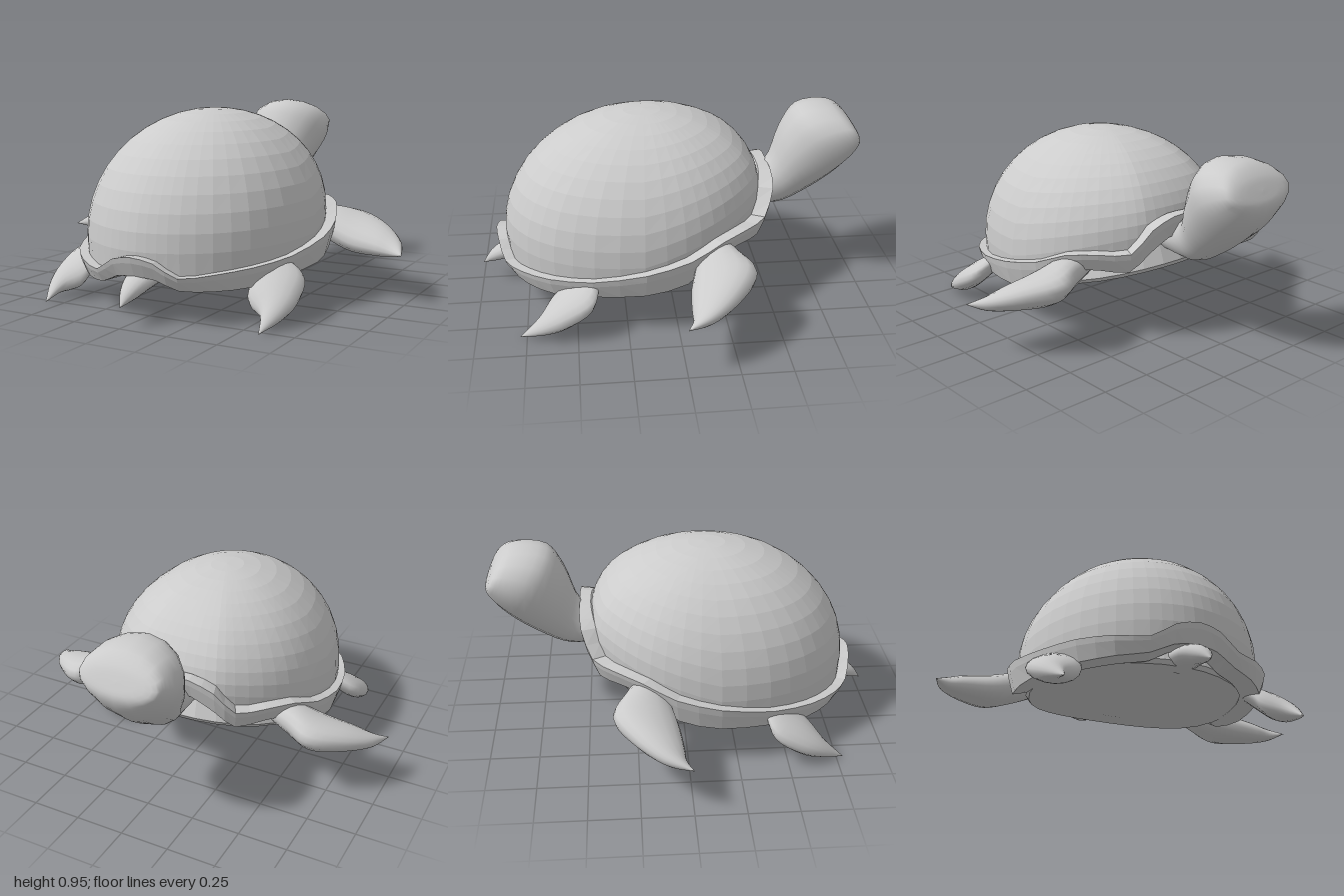
import * as THREE from 'three';

const V = (x, y, z) => new THREE.Vector3(x, y, z);
const CZ = 0.19; // centre of the shell along z

// Skin a list of closed rings; triangles are turned to face outwards.
function skin(name, rings, { flat = false, wrap = false, double = false } = {}) {
  const n = rings[0].length, m = rings.length, idx = [];
  const pts = rings.flat();
  const mid = V(0, 0, 0);
  rings[0].forEach(p => mid.addScaledVector(p, 1 / n));
  for (let i = 0; i < (wrap ? m : m - 1); i++) {
    for (let j = 0; j < n; j++) {
      const a = i * n + j, b = i * n + (j + 1) % n;
      const c = ((i + 1) % m) * n + j, d = ((i + 1) % m) * n + (j + 1) % n;
      idx.push(a, b, d, a, d, c);
    }
  }
  let volume = 0;
  for (let k = 0; k < idx.length; k += 3) {
    const [a, b, c] = [0, 1, 2].map(q => pts[idx[k + q]].clone().sub(mid));
    volume += a.dot(b.cross(c));
  }
  if (volume < 0) idx.reverse();
  const geo = new THREE.BufferGeometry().setFromPoints(pts);
  geo.setIndex(idx);
  geo.computeVertexNormals();
  const mesh = new THREE.Mesh(geo, new THREE.MeshStandardMaterial({
    color: 0xcccccc, flatShading: flat, side: double ? THREE.DoubleSide : THREE.FrontSide,
  }));
  mesh.name = name;
  return mesh;
}

// Organic limb: each section has two opposite edge points and a half thickness along an axis.
function limb(name, sections, axis, side = 1) {
  const curve = k => new THREE.CatmullRomCurve3(sections.map(s => V(...s[k])), false, 'centripetal');
  const ca = curve(0), cb = curve(1);
  const th = new THREE.CatmullRomCurve3(sections.map((s, i) => V(s[2], i, 0)), false, 'catmullrom', 0.5);
  const rings = [], steps = (sections.length - 1) * 4, sides = 16;
  for (let i = 0; i <= steps; i++) {
    const t = i / steps, a = ca.getPoint(t), b = cb.getPoint(t);
    const c = a.clone().add(b).multiplyScalar(0.5), h = a.clone().sub(b).multiplyScalar(0.5);
    const w = Math.max(0, th.getPoint(t).x), ring = [];
    for (let j = 0; j < sides; j++) {
      const u = j / sides * Math.PI * 2;
      const p = c.clone().addScaledVector(h, Math.cos(u)).addScaledVector(axis, w * Math.sin(u));
      p.x *= side;
      ring.push(p);
    }
    rings.push(ring);
  }
  return skin(name, rings);
}

// Half outline of the shell rim, tail end to neck end: x, z, top y, bottom y
const HALF = [
  [0, 0.91, 0.315, 0.22], [0.11, 0.895, 0.295, 0.21], [0.22, 0.86, 0.23, 0.165],
  [0.36, 0.775, 0.245, 0.16], [0.49, 0.63, 0.265, 0.165], [0.585, 0.42, 0.29, 0.19],
  [0.635, 0.16, 0.34, 0.21], [0.61, -0.06, 0.39, 0.25], [0.55, -0.22, 0.455, 0.36],
  [0.455, -0.355, 0.47, 0.38], [0.34, -0.465, 0.475, 0.37], [0.25, -0.52, 0.59, 0.46],
  [0.12, -0.53, 0.635, 0.52], [0, -0.53, 0.635, 0.52],
];
const ALL = [...HALF, ...HALF.slice(1, -1).reverse().map(([x, ...r]) => [-x, ...r])];

// Smoothed outline: lower and upper edge sampled at the same places
const SEGMENTS = 52;
const edgeAt = k => new THREE.CatmullRomCurve3(ALL.map(p => V(p[0], p[k], p[1])), true, 'catmullrom', 0.4)
  .getPoints(SEGMENTS).slice(0, SEGMENTS);
const TOP = edgeAt(2), BOTTOM = edgeAt(3);

// Edge of the dome: the outline drawn in and rounded halfway to an ellipse
const DOME = TOP.map(p => {
  const u = Math.atan2(p.x / 0.59, (p.z - CZ) / 0.67);
  return V((p.x * 0.93 + 0.59 * Math.sin(u)) / 2, p.y,
    CZ + ((p.z - CZ) * 0.93 + 0.67 * Math.cos(u)) / 2);
});

function shellRim() {
  const ring = (s, y) => TOP.map((p, j) =>
    V(p.x * s, THREE.MathUtils.lerp(BOTTOM[j].y, p.y, y), CZ + (p.z - CZ) * s));
  const inner = DOME.map(p => V(p.x * 0.99, p.y, CZ + (p.z - CZ) * 0.99));
  return skin('shellRim', [
    inner, ring(1, 1), ring(0.99, 0.7), ring(0.95, 0), ring(0.8, 0.1), ring(0.82, 0.5),
  ], { flat: true, wrap: true });
}

function shellDome() {
  const rings = [DOME.map((p, j) => V(p.x * 0.99, BOTTOM[j].y + 0.03, CZ + (p.z - CZ) * 0.99))];
  for (let i = 0; i <= 11; i++) {
    const f = i / 11 * Math.PI / 2, c = Math.cos(f), s = Math.sin(f);
    rings.push(DOME.map(p => {
      const base = 0.36 + (0.15 - p.z) * (p.z < 0.15 ? 0.3 : 0.04);
      return V(p.x * c, base + (0.957 - base) * s, THREE.MathUtils.lerp(0.12, p.z, c));
    }));
  }
  return skin('shellDome', rings, { flat: true, double: true });
}

// Belly plate, rising towards the neck
function bellyPlate() {
  const ring = (s, lift) => Array.from({ length: 32 }, (_, j) => {
    const u = j / 32 * Math.PI * 2;
    const x = 0.54 * s * Math.sin(u), z = 0.15 + 0.61 * s * Math.cos(u);
    return V(x, 0.24 - 0.1 * z + (z < 0 ? 0.3 * z * z : 0) + lift, z);
  });
  return skin('bellyPlate', [ring(0, 0.13), ring(0.93, 0.13), ring(1, 0.02), ring(0.97, 0),
    ring(0.5, 0), ring(0, 0)], { flat: true });
}

export function createModel() {
  const turtle = new THREE.Group();
  turtle.name = 'turtle';
  const X = V(1, 0, 0), Y = V(0, 1, 0);
  turtle.add(shellDome(), shellRim(), bellyPlate());

  // Neck and head: top point, bottom point, half width
  turtle.add(limb('neckAndHead', [
    [[0, 0.55, -0.36], [0, 0.42, -0.38], 0.1],
    [[0, 0.63, -0.52], [0, 0.40, -0.59], 0.11],
    [[0, 0.83, -0.60], [0, 0.47, -0.73], 0.175],
    [[0, 0.94, -0.68], [0, 0.60, -0.90], 0.228],
    [[0, 0.953, -0.85], [0, 0.70, -0.98], 0.218],
    [[0, 0.90, -0.93], [0, 0.77, -1.0], 0.18],
    [[0, 0.84, -0.97], [0, 0.83, -0.975], 0],
  ], X));

  turtle.add(limb('tail', [
    [[0, 0.27, 0.70], [0, 0.17, 0.66], 0.085],
    [[0, 0.23, 0.86], [0, 0.15, 0.80], 0.075],
    [[0, 0.17, 0.95], [0, 0.12, 0.90], 0.042],
    [[0, 0.10, 0.995], [0, 0.10, 0.995], 0],
  ], X));

  // Flippers: leading point, trailing point, half thickness
  for (const side of [1, -1]) {
    const label = side > 0 ? 'left' : 'right';
    turtle.add(limb(label + 'FrontFlipper', [
      [[0.38, 0.38, -0.24], [0.42, 0.37, -0.12], 0.05],
      [[0.54, 0.37, -0.31], [0.54, 0.33, -0.09], 0.085],
      [[0.67, 0.35, -0.37], [0.68, 0.28, -0.05], 0.088],
      [[0.82, 0.32, -0.28], [0.83, 0.26, -0.035], 0.065],
      [[0.935, 0.28, -0.14], [0.91, 0.25, -0.03], 0.035],
      [[0.98, 0.25, 0], [0.98, 0.25, 0], 0],
    ], Y, side));
    turtle.add(limb(label + 'RearFlipper', [
      [[0.52, 0.27, 0.38], [0.38, 0.25, 0.48], 0.04],
      [[0.65, 0.19, 0.42], [0.44, 0.17, 0.58], 0.065],
      [[0.677, 0.12, 0.55], [0.46, 0.115, 0.63], 0.07],
      [[0.655, 0.07, 0.66], [0.55, 0.07, 0.69], 0.042],
      [[0.59, 0.005, 0.785], [0.59, 0.005, 0.785], 0],
    ], Y, side));
  }
  return turtle;
}
